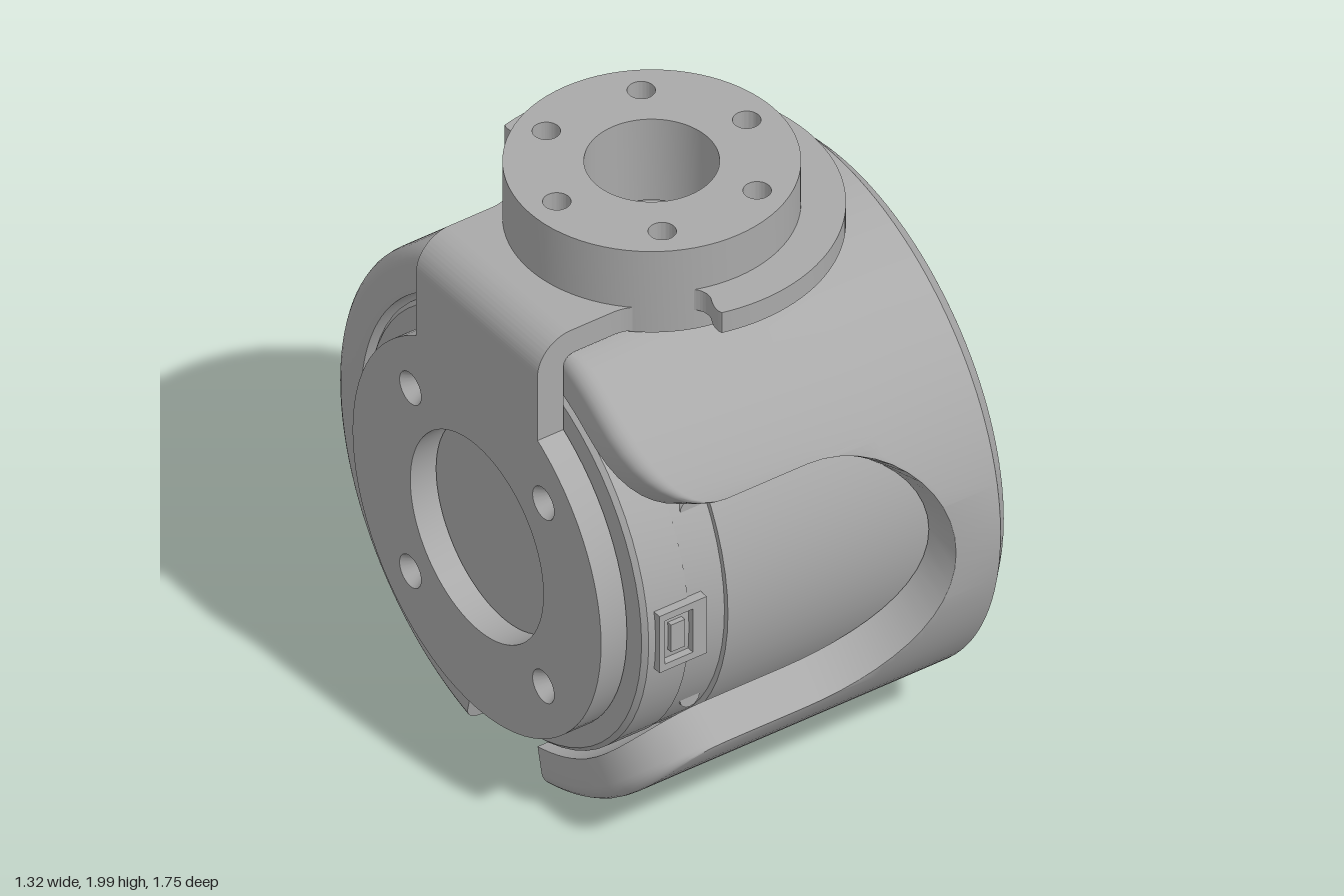
import * as THREE from 'three';
import { toCreasedNormals } from 'three/addons/utils/BufferGeometryUtils.js';

const CY = 0.88, R = 0.875, RI = 0.735; // axis height, shell outer and inner radius
const grey = new THREE.MeshStandardMaterial({ color: 0xa9a9a9, side: THREE.DoubleSide });
grey.name = 'machined grey';

function add(group, name, geo, crease = 0.5) {
  const mesh = new THREE.Mesh(toCreasedNormals(geo, crease), grey);
  mesh.name = name;
  group.add(mesh);
  return mesh;
}

function circle(r, u = 0, v = 0) {
  const s = new THREE.Shape();
  s.absarc(u, v, r, 0, Math.PI * 2, false);
  return s;
}

// circles evenly spaced round a centre
function ringOf(n, dist, r, start = 0, u = 0) {
  return Array.from({ length: n }, (_, i) => {
    const a = start + (i * Math.PI * 2) / n;
    return circle(r, u + dist * Math.cos(a), dist * Math.sin(a));
  });
}

function extrude(shape, depth, holes = []) {
  shape.holes.push(...holes);
  return new THREE.ExtrudeGeometry(shape, { depth, bevelEnabled: false, curveSegments: 40 });
}

// plate facing +x about the main axis, from x0 to x1
const plateX = (shape, x0, x1, holes) =>
  extrude(shape, x1 - x0, holes).rotateY(Math.PI / 2).translate(x0, CY, 0);

// plate facing up, from y0 to y1
const plateY = (shape, y0, y1, holes) =>
  extrude(shape, y1 - y0, holes).rotateX(-Math.PI / 2).translate(0, y0, 0);

// turned part about the main axis, profile as [x, radius]
const turned = (pts, segs = 64) =>
  new THREE.LatheGeometry(pts.map(([x, r]) => new THREE.Vector2(r, x)), segs)
    .rotateZ(-Math.PI / 2).translate(0, CY, 0);

// shell edge columns [angle, left edge x]: U opening in front, notch below
function shellColumns() {
  const half = [];
  for (let i = 0; i <= 12; i++) {
    const a = (i / 12) * Math.PI / 2;
    half.push([Math.asin(0.45 * Math.sin(a) / R), 0.45 * Math.cos(a)]);
  }
  for (let i = 0; i <= 10; i++) {
    const a = (i / 10) * Math.PI / 2;
    half.push([Math.asin((0.72 - 0.27 * Math.cos(a)) / R), -0.29 - 0.27 * Math.sin(a)]);
  }
  const start = half[half.length - 1][0];
  for (let i = 1; i <= 40; i++) half.push([start + (Math.PI - start) * i / 40, -0.56]);
  const lower = half.slice(0, -1).reverse().map(([t, x]) => [Math.PI * 2 - t, x]);
  const n0 = Math.PI * 1.5 - 0.231, n1 = Math.PI * 1.5 + 0.231;
  const cut = lower.map(([t, x]) => [t, t > n0 && t < n1 ? -0.28 : x]);
  cut.push([n0, -0.56], [n0, -0.28], [n1, -0.28], [n1, -0.56]);
  return half.concat(cut.sort((a, b) => a[0] - b[0]));
}

function shellGeometry() {
  const pos = [], index = [];
  const cols = shellColumns();
  let rows = 0;
  for (const [t, xl] of cols) {
    const rr = 0.001 + 0.05 * THREE.MathUtils.clamp((-0.29 - xl) / 0.27, 0, 1);
    const prof = [[0.58, RI], [xl, RI]];
    for (let k = 0; k <= 5; k++) {
      const a = (k / 5) * Math.PI / 2;
      prof.push([xl + rr * (1 - Math.cos(a)), R - rr + rr * Math.sin(a)]);
    }
    for (const x of [0.25, 0.29, 0.33, 0.37, 0.41]) prof.push([Math.max(x, xl + rr), R]);
    prof.push([0.61, R], [0.66, 0.82]);
    rows = prof.length;
    for (const [x, r] of prof) {
      // flat on top that runs out toward the right
      const limit = 0.815 + 0.06 * THREE.MathUtils.smoothstep(x, 0.25, 0.41);
      pos.push(x, CY + Math.min(r * Math.sin(t), limit), r * Math.cos(t));
    }
  }
  for (let c = 0; c < cols.length - 1; c++) {
    for (let k = 0; k < rows - 1; k++) {
      const a = c * rows + k, b = a + rows;
      index.push(a, b, a + 1, b, b + 1, a + 1);
    }
  }
  const g = new THREE.BufferGeometry();
  g.setAttribute('position', new THREE.Float32BufferAttribute(pos, 3));
  g.setIndex(index);
  return g;
}

// rounded wedge-shaped pocket pointing outward at an angle
function pocket(angle) {
  const side = [[0.05, 0.17], [0.08, 0.26], [0.12, 0.36], [0.1, 0.41]];
  const loop = [...side, [0, 0.42], ...side.slice().reverse().map(([t, r]) => [-t, r])];
  const pts = loop.map(([t, r]) => new THREE.Vector3(
    r * Math.cos(angle) - t * Math.sin(angle), r * Math.sin(angle) + t * Math.cos(angle), 0));
  const curve = new THREE.CatmullRomCurve3(pts, true);
  return new THREE.Path(curve.getPoints(48).slice(0, -1).map(p => new THREE.Vector2(p.x, p.y)));
}

// countersunk screw socket opening toward +x (dir 1) or -x (dir -1)
function socket(group, x, y, z, r, dir) {
  const pts = [[0, r], [-0.04, r * 0.55], [-0.05, r * 0.4], [-0.08, r * 0.4], [-0.08, 0]];
  const g = new THREE.LatheGeometry(pts.map(([h, q]) => new THREE.Vector2(q, h)), 20)
    .rotateZ(-dir * Math.PI / 2).translate(x, y, z);
  add(group, 'screwSocket', g);
}

export function createModel() {
  const model = new THREE.Group();
  model.name = 'servoJoint';
  const D = Math.PI / 180;

  // housing and its right end
  add(model, 'housingShell', shellGeometry());
  add(model, 'endPlate', plateX(circle(0.82), 0.58, 0.66,
    [circle(0.47), ...ringOf(6, 0.635, 0.08, 90 * D)]));
  for (let i = 0; i < 6; i++) {
    const a = (90 + i * 60) * D;
    socket(model, 0.658, CY + 0.635 * Math.sin(a), 0.635 * Math.cos(a), 0.08, 1);
  }

  // output disc set into the end plate
  add(model, 'outputDisc', plateX(circle(0.44), 0.4, 0.61, [
    circle(0.12), ...ringOf(6, 0.345, 0.035), ...ringOf(3, 0.31, 0.052, 90 * D),
    ...[270, 30, 150].map(a => pocket(a * D))]));
  add(model, 'outputRim', turned([[0.58, 0.47], [0.645, 0.47], [0.645, 0.455], [0.58, 0.455]]));
  for (let i = 0; i < 6; i++) {
    const a = i * 60 * D;
    socket(model, 0.605, CY + 0.345 * Math.sin(a), 0.345 * Math.cos(a), 0.034, 1);
  }

  // motor core, with a stepped band behind the end cap
  add(model, 'motorCore', turned([[0.4, 0], [0.4, 0.47], [0.57, 0.47], [0.57, 0.73], [-0.27, 0.73],
    [-0.27, 0.64], [-0.4, 0.64], [-0.4, 0.715], [-0.545, 0.715], [-0.56, 0.7], [-0.56, 0]]));
  const spans = [[-0.4, 0.4], [0.66, Math.PI * 2 - 0.66]]; // leaves two windows in front
  for (const [a0, a1] of spans) {
    const g = new THREE.CylinderGeometry(0.712, 0.712, 0.13, 48, 1, true, a0 + Math.PI / 2, a1 - a0)
      .rotateZ(-Math.PI / 2).translate(-0.335, CY, 0);
    add(model, 'bandCover', g);
  }
  for (const s of [-1, 1]) {
    const post = add(model, 'windowPost', new THREE.CylinderGeometry(0.035, 0.035, 0.08, 16));
    post.rotation.x = Math.PI / 2;
    post.position.set(-0.33, CY + s * 0.35, 0.58);
  }

  // cable connector
  const frame = new THREE.Shape([[-0.52, -0.105], [-0.35, -0.105], [-0.35, 0.105], [-0.52, 0.105]]
    .map(p => new THREE.Vector2(...p)));
  const opening = new THREE.Path([[-0.5, -0.08], [-0.4, -0.08], [-0.4, 0.08], [-0.5, 0.08]]
    .map(p => new THREE.Vector2(...p)));
  add(model, 'connectorFrame', extrude(frame, 0.05, [opening]).translate(0, CY, 0.685));
  add(model, 'connectorPlug', new THREE.BoxGeometry(0.05, 0.1, 0.03).translate(-0.45, CY, 0.715));

  // bracket: round back plate, bent strip and webs to the flange
  const corners = [[-0.34, 0.34], [0.34, 0.34], [0.34, -0.34], [-0.34, -0.34]];
  add(model, 'bracketDisc', plateX(circle(0.635), -0.66, -0.567,
    [circle(0.34), ...corners.map(([u, v]) => circle(0.055, u, v))]));
  for (const [u, v] of corners) socket(model, -0.659, CY + v, u, 0.055, -1);
  const strip = new THREE.Shape();
  strip.moveTo(-0.42, 1.79);
  strip.lineTo(-0.54, 1.79);
  strip.absarc(-0.54, 1.67, 0.12, Math.PI / 2, Math.PI, false);
  strip.lineTo(-0.66, 1.32);
  strip.lineTo(-0.567, 1.32);
  strip.lineTo(-0.567, 1.66);
  strip.quadraticCurveTo(-0.567, 1.705, -0.52, 1.705);
  strip.lineTo(-0.42, 1.705);
  add(model, 'bracketStrip', extrude(strip, 0.62).translate(0, 0, -0.31));
  for (const s of [-1, 1]) {
    const web = new THREE.Shape();
    web.moveTo(-0.45, s * 0.2);
    web.lineTo(-0.45, s * 0.31);
    web.lineTo(-0.38, s * 0.31);
    web.quadraticCurveTo(-0.32, s * 0.315, -0.26, s * 0.37);
    web.lineTo(-0.28, s * 0.2);
    add(model, 'bracketWeb', plateY(web, 1.705, 1.79));
  }

  // top flange with bore and bolt holes
  const FX = -0.03;
  add(model, 'topFlange', plateY(circle(0.44, FX), 1.7, 2,
    [circle(0.2, FX), ...ringOf(6, 0.342, 0.042, 0, FX)]));

  // partial collar round the flange
  const collar = new THREE.Shape();
  const a = 104 * D, b = 113 * D;
  collar.absarc(FX, 0, 0.572, -a, a, false);
  collar.quadraticCurveTo(-0.18, 0.53, -0.155, 0.48);
  collar.quadraticCurveTo(-0.14, 0.43, FX + 0.43 * Math.cos(b), 0.43 * Math.sin(b));
  collar.absarc(FX, 0, 0.43, b, -b, true);
  collar.quadraticCurveTo(-0.14, -0.43, -0.155, -0.48);
  collar.quadraticCurveTo(-0.18, -0.53, FX + 0.572 * Math.cos(a), -0.572 * Math.sin(a));
  add(model, 'flangeCollar', plateY(collar, 1.77, 1.845));

  return model;
}
